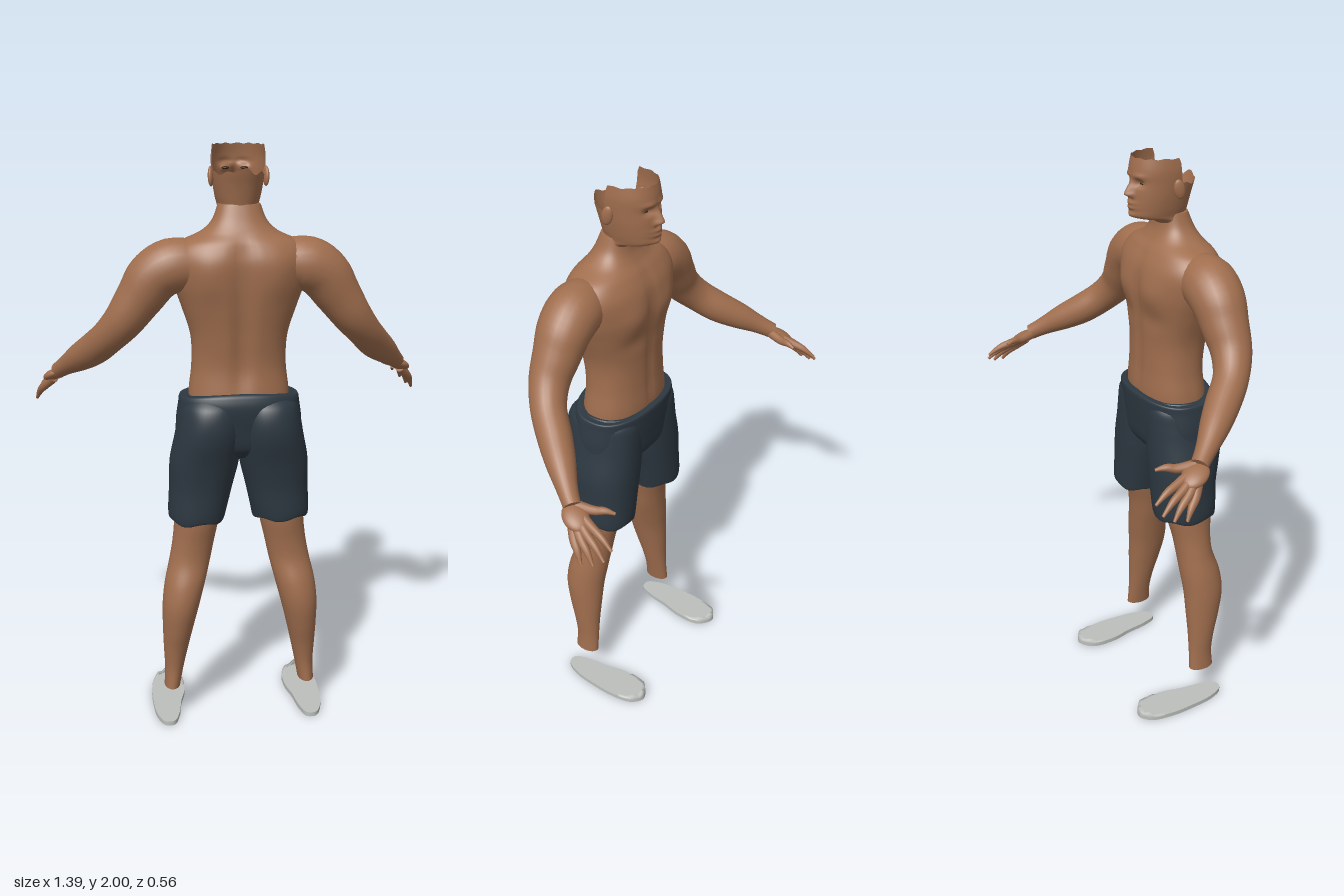
import * as THREE from 'three';

const mat = (name, color, side = THREE.FrontSide) => {
  const m = new THREE.MeshStandardMaterial({ color, side });
  m.name = name;
  return m;
};

const spow = (v, e) => Math.sign(v) * Math.pow(Math.abs(v), e);
const gauss = (d, w) => Math.exp(-(d * d) / (w * w));
const smooth = THREE.MathUtils.smoothstep;

// Smooth interpolation through rows of numbers, t in 0..1
function sampleRows(rows, t) {
  const n = rows.length - 1;
  const f = Math.min(t * n, n - 1e-6), k = Math.floor(f), u = f - k;
  const at = i => rows[THREE.MathUtils.clamp(i, 0, n)];
  const [a, b, c, d] = [at(k - 1), at(k), at(k + 1), at(k + 2)];
  return b.map((_, i) => {
    const m0 = (c[i] - a[i]) / 2, m1 = (d[i] - b[i]) / 2, D = b[i] - c[i];
    return b[i] + u * (m0 + u * (-3 * D - 2 * m0 - m1 + u * (2 * D + m0 + m1)));
  });
}

// Skin a grid of closed rings; optional end caps
function skin(rings, cols, flip, capStart, capEnd) {
  const pos = [], idx = [], last = rings.length - 1;
  const tri = (a, b, c) => flip ? idx.push(a, c, b) : idx.push(a, b, c);
  rings.forEach(r => r.forEach(p => pos.push(p.x, p.y, p.z)));
  for (let i = 0; i < last; i++) for (let j = 0; j < cols; j++) {
    const a = i * cols + j, b = i * cols + (j + 1) % cols;
    tri(a, a + cols, b);
    tri(b, a + cols, b + cols);
  }
  const cap = (row, dir) => {
    const start = pos.length / 3, c = new THREE.Vector3();
    rings[row].forEach(p => { c.add(p); pos.push(p.x, p.y, p.z); });
    c.divideScalar(cols);
    pos.push(c.x, c.y, c.z);
    for (let j = 0; j < cols; j++) {
      const a = start + j, b = start + (j + 1) % cols;
      dir ? tri(a, start + cols, b) : tri(a, b, start + cols);
    }
  };
  if (capStart) cap(0, false);
  if (capEnd) cap(last, true);
  const g = new THREE.BufferGeometry();
  g.setAttribute('position', new THREE.Float32BufferAttribute(pos, 3));
  g.setIndex(idx);
  g.computeVertexNormals();
  return g;
}

// Upright loft: rows are [y, centreX, halfWidth, zFace, zBack]; the face side is -z
function loft(rows, { cols = 48, steps = 50, e = 1, warp, top, capStart = true, capEnd = true } = {}) {
  const rings = [];
  for (let i = 0; i <= steps; i++) {
    const ring = [];
    for (let j = 0; j < cols; j++) {
      const a = j / cols * Math.PI * 2;
      const [y, cx, hw, zf, zb] = sampleRows(rows, i / steps * (top ? top(a) : 1));
      const p = new THREE.Vector3(cx + hw * spow(Math.sin(a), e), y,
        (zf + zb) / 2 - (zb - zf) / 2 * spow(Math.cos(a), e));
      if (warp) warp(p, a, i / steps);
      ring.push(p);
    }
    rings.push(ring);
  }
  return skin(rings, cols, false, capStart, capEnd);
}

// Tapered limb through points [x, y, z, radius], mirrored by s
function limb(points, s, cols = 24, steps = 40) {
  const curve = new THREE.CatmullRomCurve3(points.map(p => new THREE.Vector3(p[0] * s, p[1], p[2])));
  const frames = curve.computeFrenetFrames(steps, false);
  const rings = [];
  for (let i = 0; i <= steps; i++) {
    const c = curve.getPoint(i / steps), [r] = sampleRows(points.map(p => [p[3]]), i / steps);
    rings.push(Array.from({ length: cols }, (_, j) => {
      const a = j / cols * Math.PI * 2;
      return c.clone().addScaledVector(frames.normals[i], r * Math.cos(a))
        .addScaledVector(frames.binormals[i], r * Math.sin(a));
    }));
  }
  return skin(rings, cols, true, true, true);
}

export function createModel() {
  const group = new THREE.Group();
  const skinMat = mat('skin', 0xa06e4e);
  const shellMat = mat('skin shell', 0xa06e4e, THREE.DoubleSide);
  const clothMat = mat('shorts cloth', 0x2d3841);
  const soleMat = mat('sole rubber', 0xbcbfbc, THREE.DoubleSide);
  const eyeMat = mat('eye', 0x3a281f);
  const add = (name, geo, m) => {
    const mesh = new THREE.Mesh(geo, m);
    mesh.name = name;
    group.add(mesh);
    return mesh;
  };
  const ball = (name, m, p, scale, rot = [0, 0, 0]) => {
    const mesh = add(name, new THREE.SphereGeometry(1, 24, 16), m);
    mesh.position.set(...p);
    mesh.scale.set(...scale);
    mesh.rotation.set(...rot);
  };

  // Torso with chest, spine groove and shoulder blades
  add('torso', loft([
    [1.10, 0, 0.165, 0.03, 0.24], [1.20, 0, 0.168, 0.015, 0.235], [1.30, 0, 0.157, 0.018, 0.225],
    [1.40, 0, 0.16, 0.018, 0.235], [1.50, 0, 0.19, 0.01, 0.25], [1.58, 0, 0.217, 0.008, 0.26],
    [1.65, 0, 0.225, 0.012, 0.262], [1.70, 0, 0.195, 0.035, 0.245], [1.735, 0, 0.125, 0.06, 0.22],
    [1.77, 0, 0.088, 0.075, 0.20], [1.82, 0, 0.068, 0.08, 0.18],
  ], {
    cols: 72, steps: 70, e: 0.86,
    warp: (p, a) => {
      const x = Math.abs(p.x), c = Math.cos(a);
      const upper = smooth(p.y, 1.15, 1.3) * (1 - smooth(p.y, 1.66, 1.75));
      if (c < 0) {
        p.z -= 0.016 * gauss(x, 0.03) * upper;
        p.z += 0.01 * gauss(x - 0.11, 0.05) * gauss(p.y - 1.6, 0.08);
      } else {
        p.z -= 0.014 * gauss(x - 0.085, 0.065) * gauss(p.y - 1.575, 0.055);
        p.z += 0.006 * gauss(x, 0.015) * upper;
        p.z += 0.006 * gauss(x - 0.08, 0.06) * gauss(p.y - 1.48, 0.035);
      }
    },
  }), skinMat);

  // Open-topped head: high at the forehead, low ragged rim at the back
  add('head', loft([
    [1.76, 0, 0.078, 0.09, 0.195], [1.785, 0, 0.07, 0.078, 0.186], [1.80, 0, 0.066, 0.05, 0.182],
    [1.812, 0, 0.066, -0.005, 0.18], [1.84, 0, 0.073, -0.012, 0.186], [1.88, 0, 0.08, -0.012, 0.196],
    [1.92, 0, 0.084, -0.01, 0.208], [1.96, 0, 0.086, -0.01, 0.216], [2.0, 0, 0.082, -0.002, 0.212],
  ], {
    cols: 112, steps: 80, e: 0.92, capStart: false, capEnd: false,
    top: a => {
      const front = smooth(Math.cos(a), -0.25, -0.05);
      const high = 0.992 + 0.008 * Math.sin(a * 14);
      const low = 0.735 + 0.018 * Math.sin(a * 9) + 0.045 * gauss(a - Math.PI, 0.35);
      return low + (high - low) * front;
    },
    warp: (p, a) => {
      if (Math.cos(a) < 0.2) return;
      const x = Math.abs(p.x);
      const nose = smooth(p.y, 1.872, 1.886) * (1 - smooth(p.y, 1.886, 1.94));
      p.z -= 0.025 * nose * gauss(x, 0.013);
      p.z -= 0.008 * gauss(x - 0.013, 0.008) * gauss(p.y - 1.882, 0.01);
      p.z += 0.012 * gauss(x - 0.031, 0.016) * gauss(p.y - 1.922, 0.012);
      p.z -= 0.005 * gauss(x - 0.03, 0.025) * gauss(p.y - 1.943, 0.009);
      p.z -= 0.009 * gauss(x, 0.022) * (gauss(p.y - 1.858, 0.007) + gauss(p.y - 1.843, 0.007));
      p.z -= 0.008 * gauss(x, 0.02) * gauss(p.y - 1.818, 0.012);
    },
  }), shellMat);

  // Shorts: waist section, then two overlapping legs
  add('shortsWaist', loft([
    [0.99, 0, 0.15, 0.04, 0.20], [1.03, 0, 0.205, 0.012, 0.235], [1.10, 0, 0.212, 0.002, 0.25],
    [1.17, 0, 0.203, -0.004, 0.26], [1.20, 0, 0.198, -0.004, 0.253], [1.205, 0, 0.185, 0.008, 0.24],
  ], {
    cols: 64, e: 0.85,
    warp: (p, a, t) => { p.y += smooth(t, 0.6, 1) * (0.008 * Math.cos(a * 2) - 0.008 * Math.cos(a)); },
  }), clothMat);

  for (const s of [1, -1]) {
    const side = s > 0 ? 'left' : 'right';

    add(side + 'ShortsLeg', loft([
      [0.785, 0.143, 0.085, 0.03, 0.21], [0.768, 0.143, 0.094, 0.014, 0.226], [0.79, 0.143, 0.1, 0.008, 0.233],
      [0.88, 0.13, 0.108, 0.006, 0.237], [0.97, 0.118, 0.117, 0.004, 0.252], [1.06, 0.104, 0.113, 0.004, 0.274],
      [1.12, 0.098, 0.108, 0.004, 0.277], [1.17, 0.095, 0.1, 0.008, 0.264], [1.20, 0.09, 0.085, 0.03, 0.235],
    ].map(r => [r[0], r[1] * s, ...r.slice(2)]), {
      e: 0.9,
      warp: (p, a, t) => { p.y -= (1 - smooth(t, 0.2, 0.35)) * (0.003 + 0.01 * Math.sin(a * 2 * s - 0.6) * Math.sin(a * 3)); },
    }), clothMat);

    // Lower leg, cut flat at the ankle
    add(side + 'Leg', loft([
      [0.13, 0.242, 0.028, 0.105, 0.2], [0.2, 0.234, 0.033, 0.107, 0.197], [0.28, 0.227, 0.043, 0.106, 0.209],
      [0.36, 0.219, 0.053, 0.102, 0.229], [0.45, 0.208, 0.064, 0.098, 0.244], [0.53, 0.193, 0.07, 0.09, 0.237],
      [0.61, 0.174, 0.071, 0.083, 0.214], [0.68, 0.16, 0.072, 0.073, 0.212], [0.76, 0.147, 0.077, 0.053, 0.221],
      [0.86, 0.137, 0.085, 0.035, 0.225],
    ].map(r => [r[0], r[1] * s, ...r.slice(2)])), skinMat);

    // Arm from shoulder to wrist
    add(side + 'Arm', limb([
      [0.15, 1.63, 0.15, 0.082], [0.215, 1.628, 0.148, 0.09], [0.275, 1.593, 0.145, 0.087], [0.325, 1.525, 0.143, 0.076],
      [0.375, 1.455, 0.137, 0.065], [0.425, 1.396, 0.105, 0.057], [0.475, 1.342, 0.045, 0.055],
      [0.525, 1.3, -0.015, 0.047], [0.57, 1.262, -0.07, 0.034], [0.603, 1.232, -0.115, 0.028],
    ], s), skinMat);

    // Hand: flat palm and five tapered digits
    ball(side + 'Palm', skinMat, [0.618 * s, 1.213, -0.138], [0.04, 0.019, 0.052], [-0.45, -0.4 * s, -0.35 * s]);
    const digits = {
      Thumb: [[0.59, 1.228, -0.12], [0.572, 1.222, -0.175], [0.55, 1.222, -0.235]],
      Index: [[0.602, 1.214, -0.14], [0.616, 1.198, -0.195], [0.634, 1.158, -0.28]],
      Middle: [[0.615, 1.21, -0.14], [0.637, 1.185, -0.19], [0.662, 1.132, -0.272]],
      Ring: [[0.622, 1.205, -0.135], [0.652, 1.172, -0.18], [0.678, 1.115, -0.243]],
      Little: [[0.622, 1.202, -0.13], [0.66, 1.162, -0.162], [0.688, 1.11, -0.205]],
    };
    for (const [name, [a, b, c]] of Object.entries(digits)) {
      const mid = b.map((v, i) => (v + c[i]) / 2 + (i === 1 ? 0.006 : 0));
      add(side + name, limb([[...a, 0.018], [...b, 0.0145], [...mid, 0.0115], [...c, 0.005]], s, 12, 14), skinMat);
    }

    // Ear and eye
    ball(side + 'Ear', skinMat, [0.088 * s, 1.903, 0.112], [0.009, 0.032, 0.018], [-0.2, 0.3 * s, 0]);
    ball(side + 'Eye', eyeMat, [0.031 * s, 1.922, 0.014], [0.012, 0.005, 0.01]);

    // Shoe sole: rounded outline with a low ragged toe lip
    const outline = new THREE.CatmullRomCurve3([
      [0.25, -0.12], [0.292, -0.09], [0.31, -0.01], [0.309, 0.08], [0.298, 0.17], [0.272, 0.222],
      [0.24, 0.222], [0.219, 0.17], [0.207, 0.09], [0.19, 0.01], [0.198, -0.08],
    ].map(p => new THREE.Vector3(p[0] * s, 0, p[1])), true);
    const pts = outline.getPoints(60);
    const shape = new THREE.Shape(pts.slice(0, 60).map(p => new THREE.Vector2(p.x, -p.z)));
    const sole = new THREE.ExtrudeGeometry(shape, { depth: 0.016, bevelEnabled: false });
    add(side + 'Sole', sole.rotateX(-Math.PI / 2), soleMat);
    const rim = [];
    for (let k = -9; k <= 9; k++) {
      const p = outline.getPoint((k / 60 + 1) % 1);
      const h = 0.016 + 0.022 * gauss(k, 6) * (0.8 + 0.3 * Math.cos(k * 1.4));
      const inX = 0.25 * s + (p.x - 0.25 * s) * 0.85;
      rim.push([p.clone().setY(0.01), p.clone().setY(h), new THREE.Vector3(inX, h, p.z + 0.012)]);
    }
    const pos = [], idx = [];
    rim.forEach((r, i) => {
      r.forEach(p => pos.push(p.x, p.y, p.z));
      if (i) for (let j = 0; j < 2; j++) {
        const a = (i - 1) * 3 + j;
        idx.push(a, a + 1, a + 3, a + 3, a + 1, a + 4);
      }
    });
    const lip = new THREE.BufferGeometry();
    lip.setAttribute('position', new THREE.Float32BufferAttribute(pos, 3));
    lip.setIndex(idx);
    lip.computeVertexNormals();
    add(side + 'ToeLip', lip, soleMat);
  }

  return group;
}
